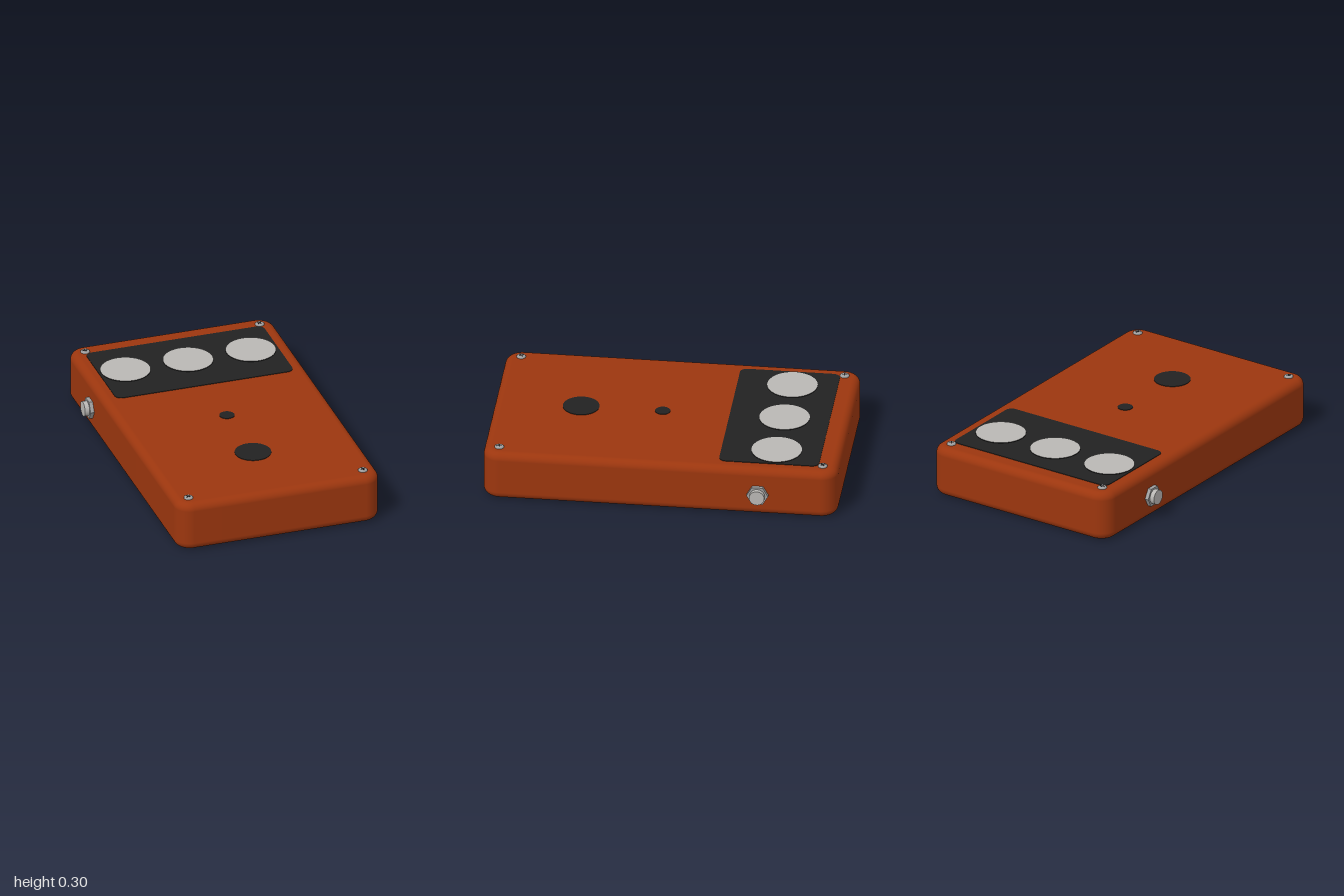
import * as THREE from 'three';

const mat = (name, color) => {
  const m = new THREE.MeshStandardMaterial({ color });
  m.name = name;
  return m;
};

// Rounded rectangle centred on the origin
function roundedRect(hx, hy, r, cy = 0) {
  const s = new THREE.Shape();
  s.absarc(hx - r, cy + hy - r, r, 0, Math.PI / 2);
  s.absarc(-hx + r, cy + hy - r, r, Math.PI / 2, Math.PI);
  s.absarc(-hx + r, cy - hy + r, r, Math.PI, Math.PI * 1.5);
  s.absarc(hx - r, cy - hy + r, r, Math.PI * 1.5, Math.PI * 2);
  s.closePath();
  return s;
}

// Enclosure with wide plan corners and softly rolled top and bottom edges
function enclosureGeometry(hx, hz, h, corner, roll) {
  const g = new THREE.ExtrudeGeometry(roundedRect(hx - roll, hz - roll, corner - roll), {
    depth: h - 2 * roll, bevelEnabled: true, bevelSize: roll, bevelThickness: roll,
    bevelSegments: 8, curveSegments: 10,
  });
  g.rotateX(-Math.PI / 2).translate(0, roll, 0);
  // Smooth normals from the rounding rule; the flat faces stay flat
  const p = g.attributes.position, n = g.attributes.normal;
  const clamp = THREE.MathUtils.clamp;
  for (let i = 0; i < p.count; i++) {
    const x = p.getX(i), y = p.getY(i), z = p.getZ(i);
    const s = clamp((y - clamp(y, roll, h - roll)) / roll, -1, 1);
    const c = Math.sqrt(1 - s * s);
    const dx = x - clamp(x, -hx + corner, hx - corner);
    const dz = z - clamp(z, -hz + corner, hz - corner);
    const d = Math.hypot(dx, dz) || 1;
    n.setXYZ(i, c * dx / d, s, c * dz / d);
  }
  return g;
}

export function createModel() {
  const model = new THREE.Group();
  model.name = 'effectPedal';
  const orange = mat('burnt orange paint', 0x9c360e);
  const black = mat('black', 0x222222);
  const silver = mat('light silver', 0xb9b7b4);
  const steel = mat('steel', 0xa0a0a0);

  const add = (parent, name, geo, material, x = 0, y = 0, z = 0) => {
    const m = new THREE.Mesh(geo, material);
    m.name = name;
    m.position.set(x, y, z);
    parent.add(m);
    return m;
  };

  const top = 0.291;
  add(model, 'enclosure', enclosureGeometry(0.6, 1, top, 0.095, 0.045), orange);

  // Control panel plate
  const panel = new THREE.ExtrudeGeometry(roundedRect(0.525, 0.282, 0.04, 0.607),
    { depth: 0.004, bevelEnabled: false, curveSegments: 8 });
  panel.rotateX(-Math.PI / 2);
  add(model, 'controlPanel', panel, black, 0, top - 0.001, 0);

  // Three dial discs: black rim, silver face
  for (const x of [-0.37, 0, 0.37]) {
    add(model, 'dial', new THREE.CylinderGeometry(0.142, 0.142, 0.005, 48),
      [black, silver, black], x, top + 0.0045, -0.635);
  }

  // Indicator light and foot switch discs
  add(model, 'indicator', new THREE.CylinderGeometry(0.043, 0.043, 0.004, 32), black, 0, top + 0.001, 0.052);
  add(model, 'footSwitch', new THREE.CylinderGeometry(0.103, 0.103, 0.004, 48), black, 0, top + 0.001, 0.512);

  // Corner screws with cross slots
  const head = new THREE.LatheGeometry([
    [0.026, -0.004], [0.026, 0.005], [0.023, 0.008], [0.017, 0.01], [0, 0.01],
  ].map(([r, y]) => new THREE.Vector2(r, y)), 20);
  const slot = new THREE.BoxGeometry(0.03, 0.002, 0.007);
  [[-1, -1, 0.05], [1, -1, 0.6], [-1, 1, 0.75], [1, 1, 0.15]].forEach(([sx, sz, turn]) => {
    const screw = new THREE.Group();
    screw.name = 'screw';
    screw.position.set(sx * 0.515, top, sz * 0.912);
    screw.rotation.y = turn;
    add(screw, 'screwHead', head, steel);
    for (const a of [0, Math.PI / 2]) {
      add(screw, 'screwSlot', slot, black, 0, 0.0098, 0).rotation.y = a;
    }
    model.add(screw);
  });

  // Side jacks: hexagonal nut and round barrel
  const nut = new THREE.CylinderGeometry(0.061, 0.061, 0.03, 6).toNonIndexed();
  nut.computeVertexNormals();
  const barrel = new THREE.CylinderGeometry(0.043, 0.043, 0.035, 32);
  for (const side of [-1, 1]) {
    const jack = new THREE.Group();
    jack.name = side > 0 ? 'leftJack' : 'rightJack';
    jack.position.set(side * 0.6, 0.133, -0.555);
    jack.rotation.z = -side * Math.PI / 2;
    add(jack, 'jackNut', nut, steel, 0, 0.007, 0);
    add(jack, 'jackBarrel', barrel, silver, 0, 0.031, 0);
    model.add(jack);
  }
  return model;
}
